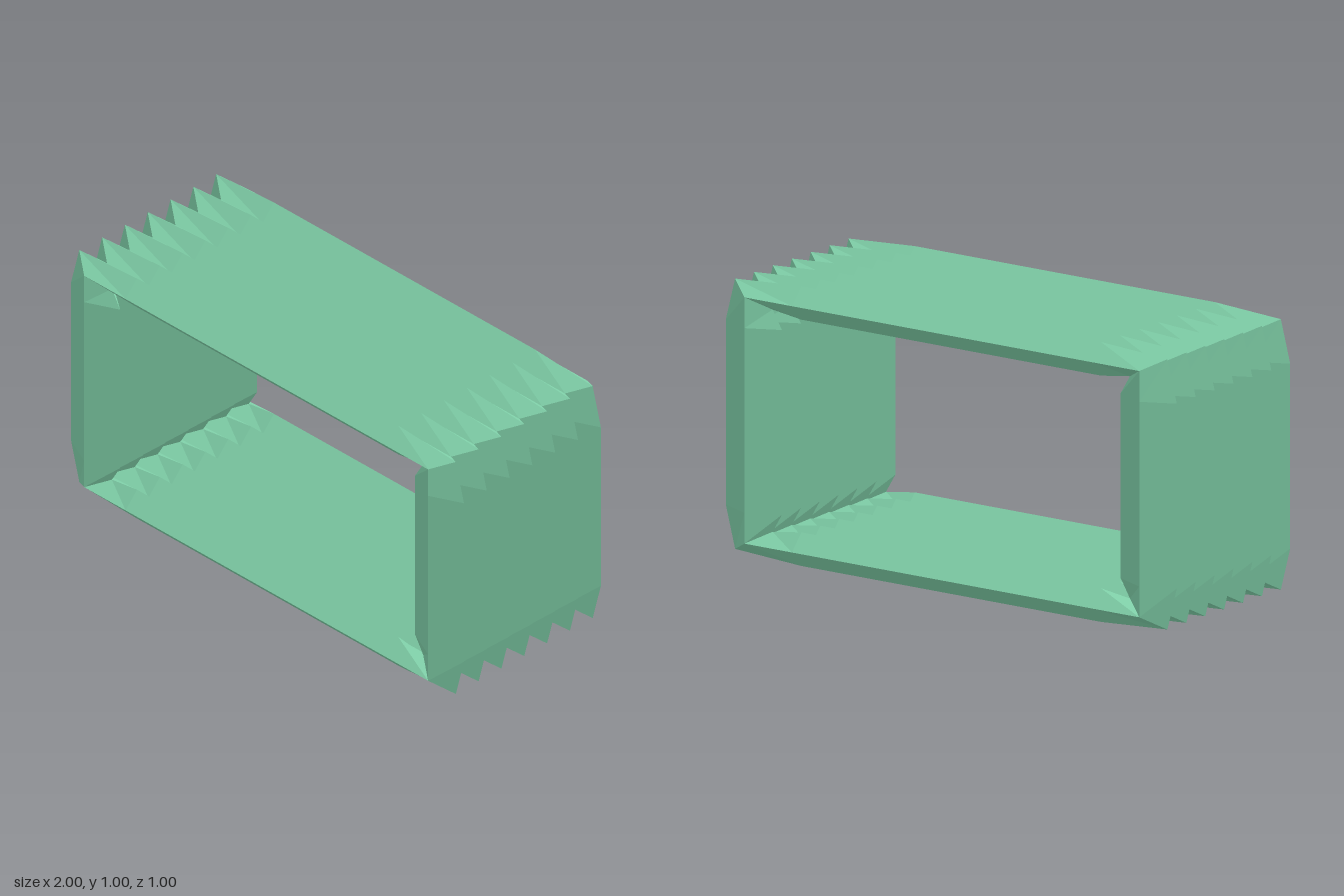
import * as THREE from 'three';

const PLEATS = 7;
const PITCH = 0.111;
const SEAM = { x: 0.843, y: 0.44 };     // half size of the rectangular seam
const BEND = { x: 0.64, y: 0.33 };      // where the straight runs end
const SIDE = 0.12, TOP = 0.06;          // fold depth along sides and top
const CORNER = { x: 0.08, y: 0.043 };   // reduced fold depth at corners

// Twelve points of a frame outline, counterclockwise; fold is 0 at the
// seam, +1 at the outer ridge and -1 at the inner ridge.
function outline(fold) {
  const sx = SEAM.x + fold * SIDE;
  const sy = SEAM.y + fold * TOP;
  const cx = SEAM.x + fold * CORNER.x;
  const cy = SEAM.y + fold * CORNER.y;
  const half = [[sx, -BEND.y], [sx, BEND.y], [cx, cy], [BEND.x, sy], [-BEND.x, sy], [-cx, cy]];
  return [...half, ...half.map(([x, y]) => [-x, -y])];
}

// One hollow pleat: a frame with a diamond cross-section
function pleatGeometry() {
  const loops = [
    [0, PITCH / 2], [1, 0], [0, -PITCH / 2], [-1, 0],
  ].map(([fold, z]) => outline(fold).map(([x, y]) => [x, y, z]));
  const positions = [];
  const n = loops[0].length;
  for (let k = 0; k < 4; k++) {
    const here = loops[k], next = loops[(k + 1) % 4];
    for (let i = 0; i < n; i++) {
      const j = (i + 1) % n;
      positions.push(...here[i], ...next[i], ...next[j], ...here[i], ...next[j], ...here[j]);
    }
  }
  const geometry = new THREE.BufferGeometry();
  geometry.setAttribute('position', new THREE.Float32BufferAttribute(positions, 3));
  geometry.computeVertexNormals();
  return geometry;
}

export function createModel() {
  const model = new THREE.Group();
  model.name = 'bellowsFrame';

  const green = new THREE.MeshStandardMaterial({ color: 0x86dab1, flatShading: true });
  green.name = 'mintGreen';

  // Row of pleats, joined at their seams
  const geometry = pleatGeometry();
  const bellows = new THREE.Group();
  bellows.name = 'bellows';
  for (let i = 0; i < PLEATS; i++) {
    const pleat = new THREE.Mesh(geometry, green);
    pleat.name = `pleat${i + 1}`;
    pleat.position.z = (i - (PLEATS - 1) / 2) * PITCH;
    bellows.add(pleat);
  }

  // The whole row stands slightly turned
  bellows.position.y = SEAM.y + TOP;
  bellows.rotation.y = 0.137;
  model.add(bellows);
  return model;
}
